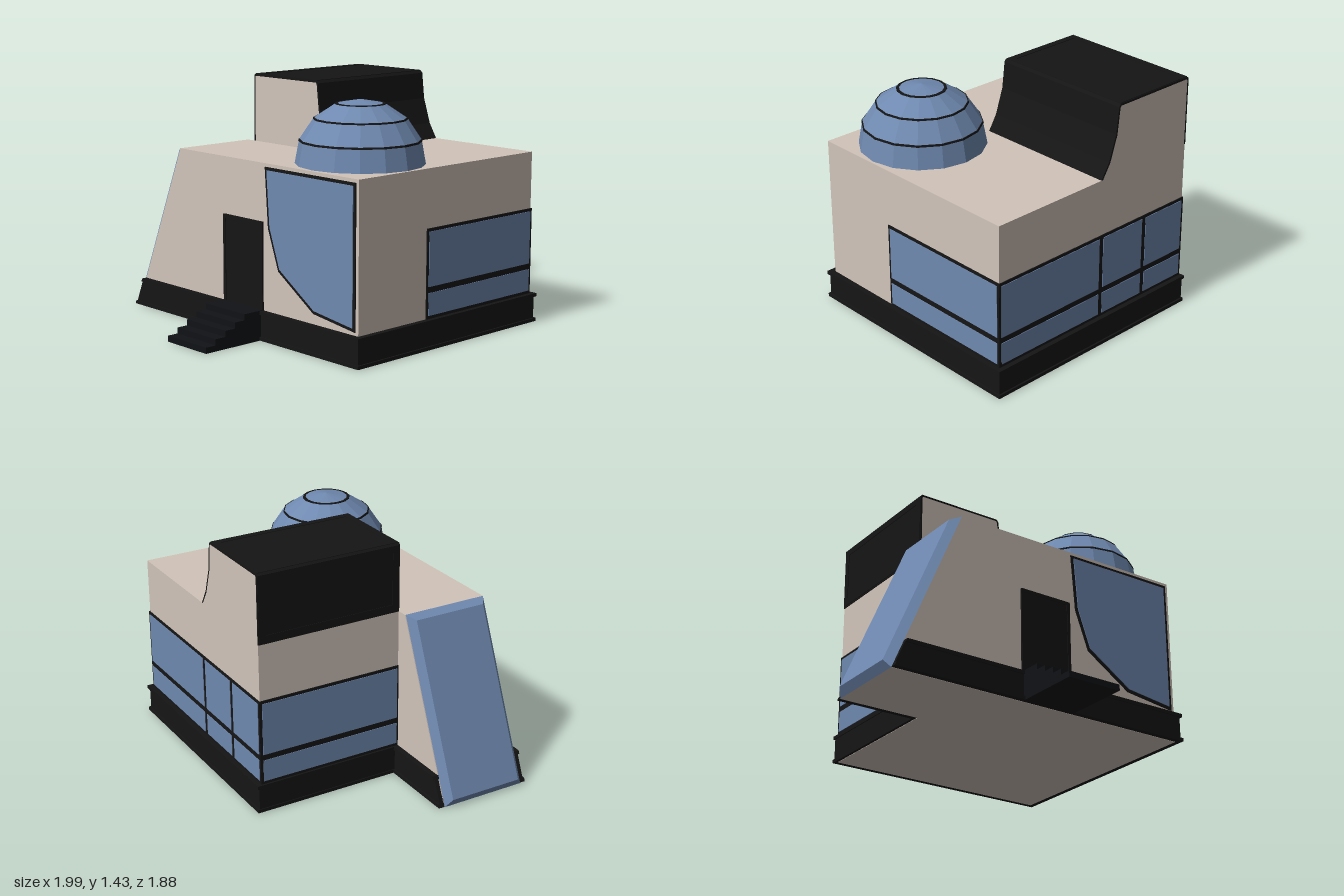
import * as THREE from 'three';
import { ConvexGeometry } from 'three/addons/geometries/ConvexGeometry.js';

const mat = (color) => new THREE.MeshStandardMaterial({ color, flatShading: true });

export function createModel() {
  const model = new THREE.Group();
  const wall = mat(0xd2c5ba), black = mat(0x151515), glass = mat(0x6f89b0), stepMat = mat(0x111217);

  function add(name, geometry, material, parent = model) {
    const mesh = new THREE.Mesh(geometry, material);
    mesh.name = name;
    parent.add(mesh);
    return mesh;
  }
  // Box given by its lower and upper corners
  function block(name, [x0, y0, z0], [x1, y1, z1], material, parent) {
    const mesh = add(name, new THREE.BoxGeometry(x1 - x0, y1 - y0, z1 - z0), material, parent);
    mesh.position.set((x0 + x1) / 2, (y0 + y1) / 2, (z0 + z1) / 2);
    return mesh;
  }
  // Outline in x, y pulled from z0 to z1
  function prism(name, points, z0, z1, material) {
    const shape = new THREE.Shape(points.map(([x, y]) => new THREE.Vector2(x, y)));
    const geometry = new THREE.ExtrudeGeometry(shape, { depth: z1 - z0, bevelEnabled: false });
    geometry.translate(0, 0, z0);
    return add(name, geometry, material);
  }
  const slopeX = (y) => -0.97 + y * 0.43 / 1.02;

  // Walls: sloping front wing and square rear wing
  prism('frontWing', [[slopeX(0), 0], [0.96, 0], [0.96, 1.02], [slopeX(1.02), 1.02]], -0.01, 0.52, wall);
  block('rearWing', [-0.475, 0, -0.9], [0.96, 1.02, -0.01], wall);

  // Plinth with a projecting band at its foot and its top
  function plinth(name, y0, y1, m) {
    prism(name + 'Front', [[slopeX(y0), y0], [0.96 + m, y0], [0.96 + m, y1], [slopeX(y1), y1]],
      -0.01 - m, 0.52 + m, black);
    block(name + 'Rear', [-0.475 - m / 2, y0, -0.9 - m], [0.96 + m, y1, -0.01 - m], black);
  }
  plinth('plinth', 0.003, 0.165, 0.023);
  plinth('plinthFootBand', 0.002, 0.022, 0.034);
  plinth('plinthTopBand', 0.152, 0.172, 0.034);

  // Slanted glass slab with bevelled edges
  const slab = [];
  for (const [x, y, z0, z1] of [[-0.97, 0, -0.005, 0.52], [-0.54, 1.02, -0.005, 0.52],
    [-1, 0.05, 0.03, 0.48], [-0.6, 1.0, 0.03, 0.48]]) {
    slab.push(new THREE.Vector3(x, y, z0), new THREE.Vector3(x, y, z1));
  }
  add('slantedGlass', new ConvexGeometry(slab), glass);

  // Tower: pale ends, black shell over the left side, top and curved right side
  const outer = [[-0.48, 1.02], [-0.48, 1.42], [-0.47, 1.43], [0.07, 1.43], [0.082, 1.415],
    [0.1, 1.26], [0.15, 1.11], [0.205, 1.02]];
  const inner = [[-0.47, 1.02], [-0.47, 1.41], [-0.465, 1.418], [0.065, 1.418], [0.072, 1.41],
    [0.09, 1.255], [0.14, 1.105], [0.193, 1.02]];
  prism('tower', inner, -0.9, -0.01, wall);
  prism('towerShell', [...outer, ...inner.slice().reverse()], -0.9, -0.01, black);

  // Raised rims on the tower's flat black panels
  function rim(name, w, h) {
    const group = new THREE.Group();
    group.name = name;
    const t = 0.04;
    for (const s of [-1, 1]) {
      add('rimLong', new THREE.BoxGeometry(w, t, 0.006), black, group).position.y = s * (h - t) / 2;
      add('rimShort', new THREE.BoxGeometry(t, h - 2 * t, 0.006), black, group).position.x = s * (w - t) / 2;
    }
    model.add(group);
    return group;
  }
  const topRim = rim('towerTopRim', 0.54, 0.88);
  topRim.position.set(-0.2, 1.43, -0.455);
  topRim.rotation.x = -Math.PI / 2;
  const sideRim = rim('towerSideRim', 0.88, 0.39);
  sideRim.position.set(-0.48, 1.225, -0.455);
  sideRim.rotation.y = -Math.PI / 2;

  // Window wall: black frame with panes between upright and level bars
  function windowWall(name, width, uprights, x, z, turn) {
    const group = new THREE.Group();
    group.name = name;
    const half = width / 2, e = 0.015;
    block('frame', [-half, 0.17, -0.006], [half, 0.685, 0.006], black, group);
    const edges = [-half, ...uprights, half];
    for (let i = 0; i + 1 < edges.length; i++) {
      for (const [y0, y1] of [[0.19, 0.32], [0.355, 0.668]]) {
        block('pane', [edges[i] + e, y0, 0], [edges[i + 1] - e, y1, 0.009], glass, group);
      }
    }
    group.position.set(x, 0, z);
    group.rotation.y = turn;
    model.add(group);
  }
  windowWall('rightWindows', 0.9, [], 0.96, -0.455, Math.PI / 2);
  windowWall('leftWindows', 0.9, [], -0.475, -0.455, -Math.PI / 2);
  windowWall('backWindows', 1.445, [0.0425, 0.3875], 0.2425, -0.9, Math.PI);

  // Curved front window
  prism('frontWindowFrame', [[0.22, 1], [0.245, 0.655], [0.33, 0.42], [0.615, 0.232], [0.94, 0.19], [0.94, 1]],
    0.515, 0.526, black);
  prism('frontWindowPane', [[0.238, 0.983], [0.262, 0.662], [0.343, 0.434], [0.622, 0.25], [0.923, 0.211],
    [0.923, 0.983]], 0.515, 0.53, glass);

  // Door with a slightly raised surround
  block('door', [-0.12, 0.165, 0.5], [0.18, 0.665, 0.527], black);
  prism('doorSurround', [[-0.14, 0.165], [-0.14, 0.685], [0.2, 0.685], [0.2, 0.165], [0.18, 0.165],
    [0.18, 0.665], [-0.12, 0.665], [-0.12, 0.165]], 0.5, 0.531, black);

  // Entrance steps
  [0.945, 0.875, 0.805, 0.735, 0.665].forEach((z, i) => {
    block('step', [-0.14, i * 0.035, 0.53], [0.2, (i + 1) * 0.035, z], stepMat);
  });

  // Faceted dome with dark rings
  const tiers = [[0.365, 1.02], [0.34, 1.155], [0.26, 1.275], [0.14, 1.355], [0, 1.38]];
  const dome = new THREE.Group();
  dome.name = 'dome';
  dome.position.set(0.58, 0, 0.135);
  model.add(dome);
  add('domeGlass', new THREE.LatheGeometry(tiers.map(([r, y]) => new THREE.Vector2(r, y)), 16), glass, dome);
  for (const [r, y] of tiers.slice(1, 4)) {
    add('domeRing', new THREE.CylinderGeometry(r + 0.002, r + 0.005, 0.011, 16), black, dome).position.y = y - 0.003;
  }
  return model;
}
